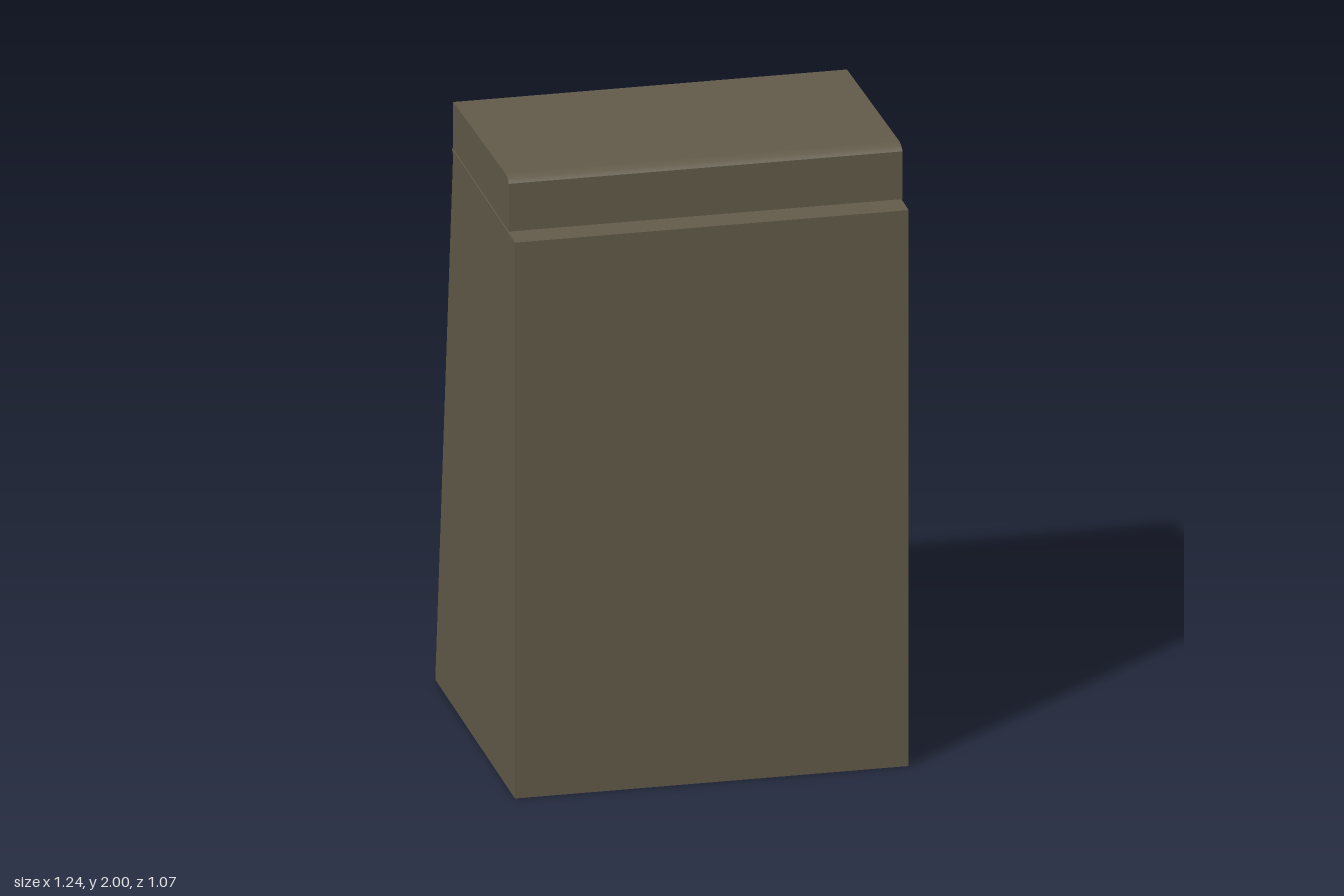
import * as THREE from 'three';

const WIDTH = 1.24, RIM_Y = 1.82;
const FRONT_Z = 0.533, BACK_BOTTOM_Z = -0.533, BACK_TOP_Z = -0.293;

export function createModel() {
  const group = new THREE.Group();
  const olive = new THREE.MeshStandardMaterial({ color: 0x645c4b, side: THREE.DoubleSide });
  olive.name = 'olive brown';

  const add = (name, geometry) => {
    const mesh = new THREE.Mesh(geometry, olive);
    mesh.name = name;
    group.add(mesh);
    return mesh;
  };

  // Body: a thin-walled box, open underneath, with a back that leans forward
  const body = new THREE.BoxGeometry(WIDTH, RIM_Y, 1).toNonIndexed();
  const pos = body.attributes.position;
  const kept = [];
  for (let i = 0; i < pos.count; i++) {
    const isBottomFace = i >= 18 && i < 24;
    if (isBottomFace) continue;
    const y = pos.getY(i) + RIM_Y / 2;
    const back = y > 0.1 ? BACK_TOP_Z : BACK_BOTTOM_Z;
    kept.push(pos.getX(i), y, pos.getZ(i) > 0 ? FRONT_Z : back);
  }
  const shell = new THREE.BufferGeometry();
  shell.setAttribute('position', new THREE.Float32BufferAttribute(kept, 3));
  shell.computeVertexNormals();
  add('body', shell);

  // Lid: side profile (z, y) with a rounded front edge and a gently sloping top
  const profile = new THREE.Shape();
  profile.moveTo(BACK_TOP_Z, RIM_Y + 0.006);
  profile.lineTo(0.45, RIM_Y + 0.006);
  profile.lineTo(0.45, 1.982);
  profile.quadraticCurveTo(0.44, 1.998, 0.41, 2);
  profile.lineTo(BACK_TOP_Z, 1.979);
  profile.closePath();
  const lid = new THREE.ExtrudeGeometry(profile, { depth: WIDTH, bevelEnabled: false, curveSegments: 5 });
  lid.translate(0, 0, -WIDTH / 2);
  lid.rotateY(-Math.PI / 2);
  add('lid', lid);

  // Hinge rod along the back of the rim
  const hinge = add('hinge', new THREE.CylinderGeometry(0.01, 0.01, WIDTH, 12));
  hinge.rotation.z = Math.PI / 2;
  hinge.position.set(0, RIM_Y - 0.002, BACK_TOP_Z - 0.004);

  return group;
}
